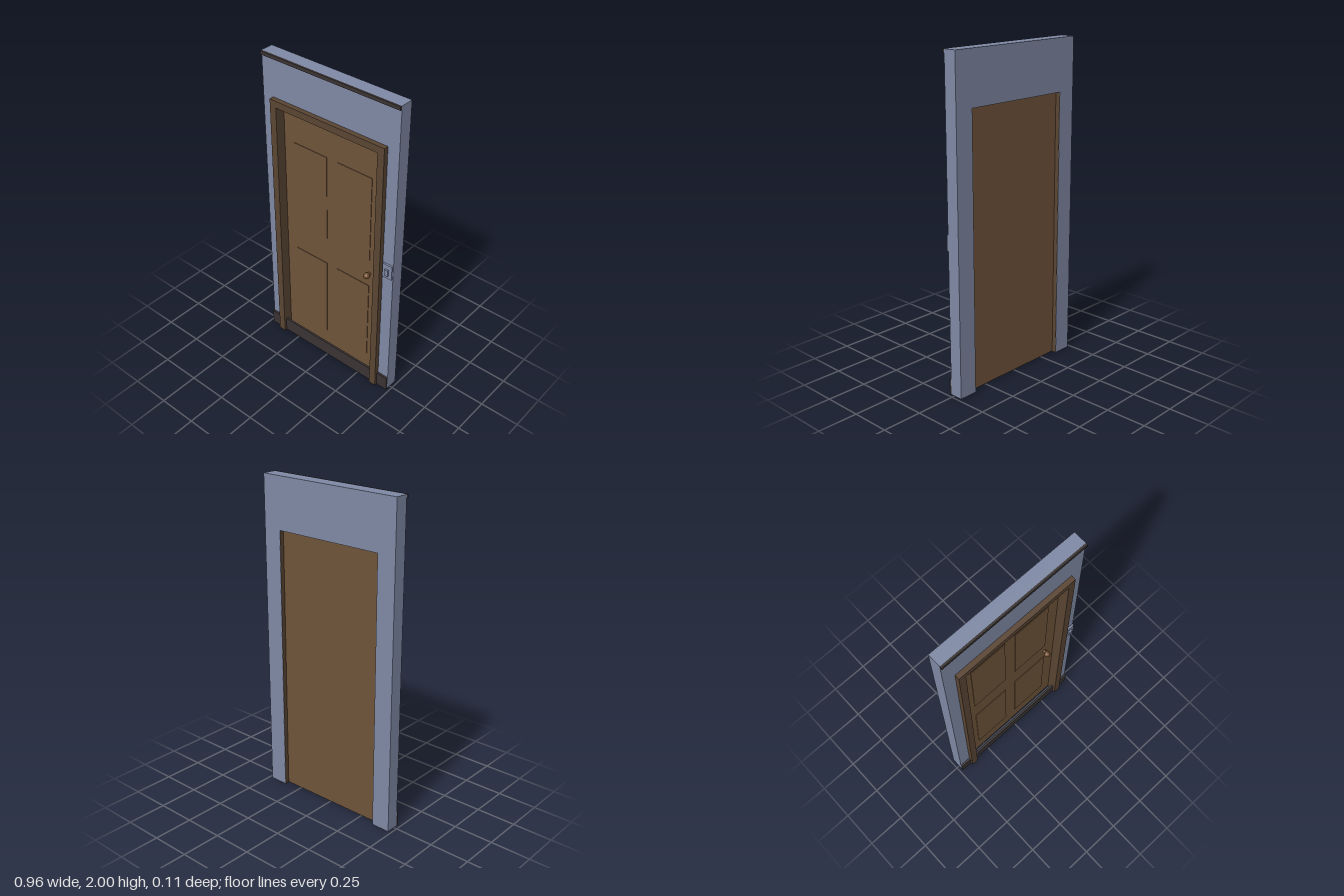
import * as THREE from 'three';

const material = (name, color) => {
  const m = new THREE.MeshStandardMaterial({ color });
  m.name = name;
  return m;
};

export function createModel() {
  const group = new THREE.Group();
  const wallBlue = material('wallBlue', 0x808aa6);
  const doorBrown = material('doorBrown', 0x70543a);
  const frameBrown = material('frameBrown', 0x5a4533);
  const trimDark = material('trimDark', 0x3a3333);
  const knobBrown = material('knobBrown', 0x6c4a2c);

  const add = (name, geometry, mat) => {
    const mesh = new THREE.Mesh(geometry, mat);
    mesh.name = name;
    group.add(mesh);
    return mesh;
  };
  // box given by its limits on each axis
  const box = (name, mat, [x0, x1], [y0, y1], [z0, z1]) => {
    const mesh = add(name, new THREE.BoxGeometry(x1 - x0, y1 - y0, z1 - z0), mat);
    mesh.position.set((x0 + x1) / 2, (y0 + y1) / 2, (z0 + z1) / 2);
    return mesh;
  };
  // upside-down U, open at the floor
  const arch = (name, mat, outer, top, inner, innerTop, z0, z1) => {
    const shape = new THREE.Shape([
      [-outer, 0], [-inner, 0], [-inner, innerTop], [inner, innerTop],
      [inner, 0], [outer, 0], [outer, top], [-outer, top],
    ].map(([x, y]) => new THREE.Vector2(x, y)));
    const geometry = new THREE.ExtrudeGeometry(shape, { depth: z1 - z0, bevelEnabled: false });
    geometry.translate(0, 0, z0);
    add(name, geometry, mat);
  };

  // wall with its doorway, and the casing around it
  arch('wall', wallBlue, 0.48, 2, 0.361, 1.682, -0.057, 0.025);
  arch('doorFrame', frameBrown, 0.405, 1.737, 0.36, 1.694, -0.056, 0.055);

  // dark mouldings at the floor and ceiling
  box('baseboard', trimDark, [-0.48, 0.48], [0, 0.095], [0.025, 0.038]);
  box('crownMoulding', trimDark, [-0.48, 0.48], [1.978, 2], [0.025, 0.038]);

  // door with four thin panels
  box('door', doorBrown, [-0.36, 0.36], [0.003, 1.682], [-0.028, -0.01]);
  for (const side of [-1, 1]) {
    for (const [y0, y1] of [[0.15, 0.71], [0.9, 1.47]]) {
      const x = side * 0.162;
      box('doorPanel', doorBrown, [x - 0.123, x + 0.123], [y0, y1], [-0.01, -0.006]);
    }
  }

  // knob on a short stem
  const stem = add('knobStem', new THREE.CylinderGeometry(0.009, 0.012, 0.025, 16), knobBrown);
  stem.rotation.x = Math.PI / 2;
  stem.position.set(0.285, 0.803, 0);
  add('doorKnob', new THREE.SphereGeometry(0.02, 20, 14), knobBrown).position.set(0.285, 0.803, 0.017);

  // light switch
  box('switchPlate', wallBlue, [0.412, 0.478], [0.885, 0.98], [0.025, 0.037]);
  box('switchToggle', wallBlue, [0.434, 0.457], [0.91, 0.95], [0.037, 0.049]);

  return group;
}
